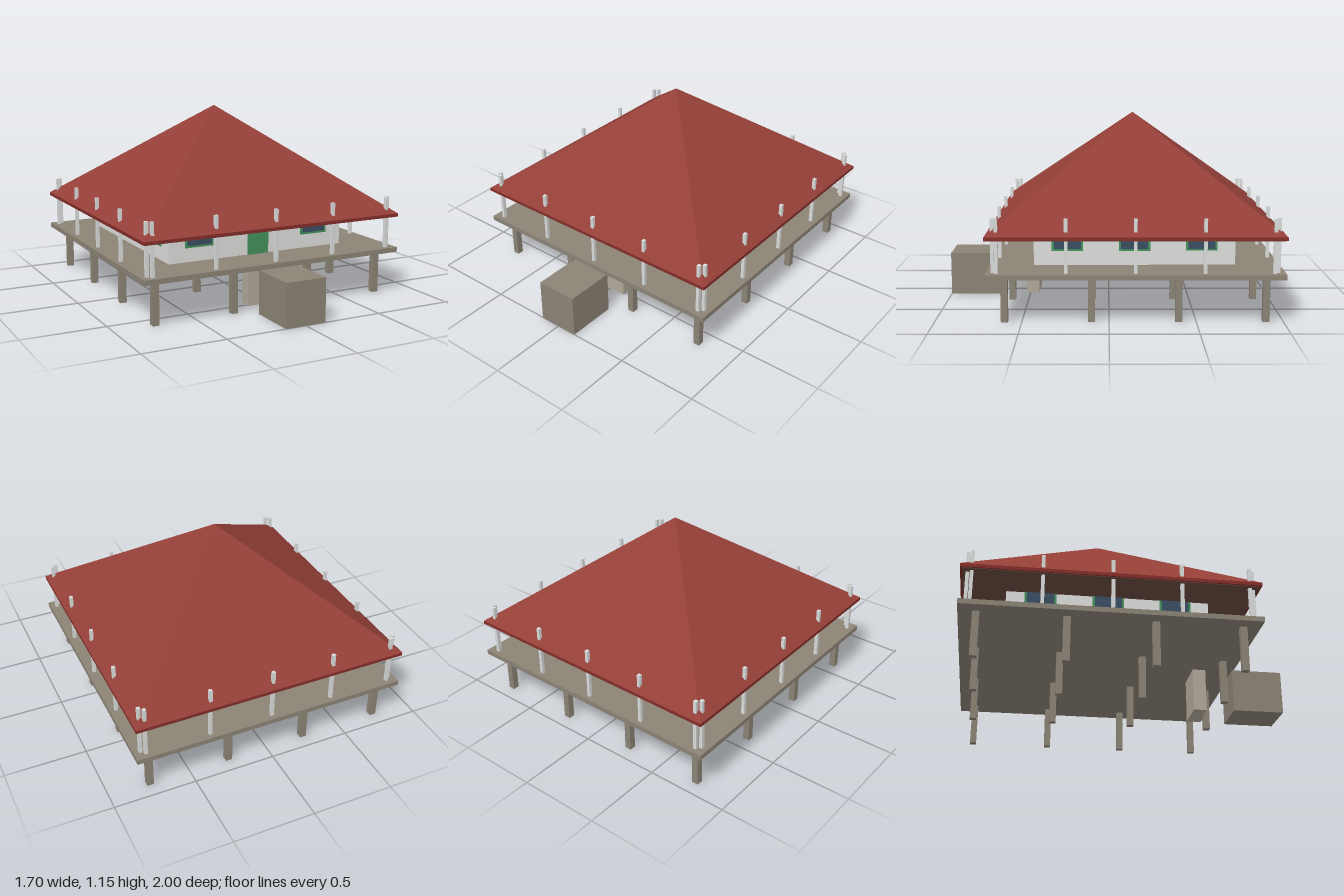
import * as THREE from 'three';

const mat = (name, color) => {
  const m = new THREE.MeshStandardMaterial({ color });
  m.name = name;
  return m;
};

export function createModel() {
  const model = new THREE.Group();
  model.name = 'stiltHouse';

  const roofRed = mat('roofRed', 0x943f38);
  const edgeRed = mat('edgeRed', 0x842e29);
  const ceilingBrown = mat('ceilingBrown', 0x6b4a40);
  const wallWhite = mat('wallWhite', 0xdddedb);
  const postGrey = mat('postGrey', 0xd9dcdb);
  const timber = mat('timber', 0x8b8375);
  const paleTimber = mat('paleTimber', 0xb0a798);
  const green = mat('green', 0x43915b);
  const glass = mat('glass', 0x394e63);

  // Box from its size and centre
  const box = (parent, name, material, size, pos) => {
    const mesh = new THREE.Mesh(new THREE.BoxGeometry(...size), material);
    mesh.name = name;
    mesh.position.set(...pos);
    parent.add(mesh);
    return mesh;
  };

  // The house sits a little behind the origin, the stair block in front
  const house = new THREE.Group();
  house.name = 'house';
  house.position.z = -0.15;
  model.add(house);

  // Stilts in a four by four grid
  for (const x of [-0.75, -0.25, 0.25, 0.75])
    for (const z of [-0.75, -0.25, 0.25, 0.75])
      box(house, 'stilt', timber, [0.04, 0.265, 0.04], [x, 0.1325, z]);

  // Platform and walls
  box(house, 'platform', timber, [1.7, 0.03, 1.7], [0, 0.28, 0]);
  box(house, 'walls', wallWhite, [1.18, 0.2, 1.18], [0, 0.395, 0]);

  // Each side carries windows and a row of veranda posts
  const SPACING = 0.393;
  for (let side = 0; side < 4; side++) {
    const wall = new THREE.Group();
    wall.name = ['frontSide', 'leftSide', 'backSide', 'rightSide'][side];
    wall.rotation.y = (side * Math.PI) / 2;
    house.add(wall);

    for (const i of [-1, 0, 1]) {
      const x = i * SPACING;
      if (side === 0 && i === 0) {
        box(wall, 'door', green, [0.14, 0.197, 0.008], [0, 0.3935, 0.593]);
      } else {
        box(wall, 'windowFrame', green, [0.184, 0.112, 0.006], [x, 0.436, 0.592]);
        box(wall, 'windowPane', glass, [0.158, 0.1, 0.006], [x, 0.442, 0.594]);
      }
    }

    for (let i = -2; i <= 2; i++)
      box(wall, 'verandaPost', postGrey, [0.02, 0.315, 0.02], [i * SPACING, 0.4525, 0.81]);
  }

  // Eaves slab with a timber ceiling below
  box(house, 'eaves', edgeRed, [1.7, 0.02, 1.7], [0, 0.5, 0]);
  box(house, 'ceiling', ceilingBrown, [1.68, 0.004, 1.68], [0, 0.489, 0]);

  // Pyramid roof
  const cone = new THREE.ConeGeometry(0.85 * Math.SQRT2, 0.64, 4, 1, true);
  cone.rotateY(Math.PI / 4);
  const roofShape = cone.toNonIndexed();
  roofShape.computeVertexNormals();
  const roof = new THREE.Mesh(roofShape, roofRed);
  roof.name = 'roof';
  roof.position.y = 0.83;
  house.add(roof);

  // Entrance block and the pale pier under the platform
  box(model, 'entranceBlock', timber, [0.26, 0.265, 0.31], [0, 0.1325, 0.845]);
  box(model, 'pier', paleTimber, [0.22, 0.265, 0.08], [0, 0.1325, 0.483]);

  return model;
}
